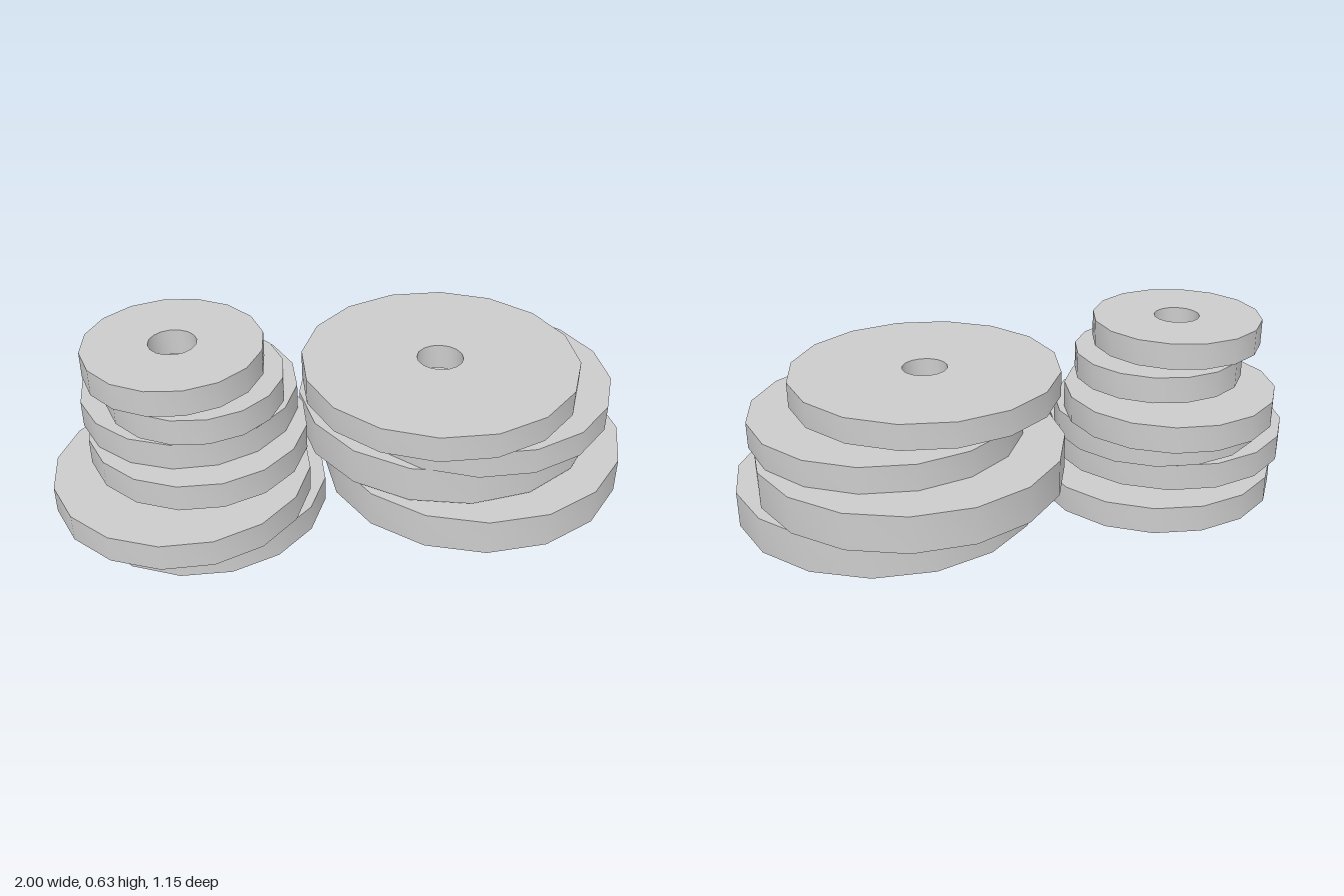
import * as THREE from 'three';
import { toCreasedNormals } from 'three/addons/utils/BufferGeometryUtils.js';

const material = new THREE.MeshStandardMaterial({ color: 0xcccccc });
const SIDES = 16, HOLE = 0.08;

// One plate: a 16-sided disc with a hole through the middle, turned by some degrees
function makePlate([x, z, bottom, top, radius, turn]) {
  const profile = [[HOLE, bottom], [radius, bottom], [radius, top], [HOLE, top], [HOLE, bottom]]
    .map(([r, y]) => new THREE.Vector2(r, y));
  const lathe = new THREE.LatheGeometry(profile, SIDES, THREE.MathUtils.degToRad(turn));
  const plate = new THREE.Mesh(toCreasedNormals(lathe, Math.PI / 4), material);
  plate.position.set(x, 0, z);
  return plate;
}

function makeStack(name, plateName, plates) {
  const stack = new THREE.Group();
  stack.name = name;
  plates.forEach((spec, i) => {
    const plate = makePlate(spec);
    plate.name = plateName + (i + 1);
    stack.add(plate);
  });
  return stack;
}

export function createModel() {
  const model = new THREE.Group();
  model.name = 'weightPlates';

  // Each plate: x, z, bottom, top, radius, turn
  model.add(makeStack('smallPlateStack', 'smallPlate', [
    [-0.505, 0.053, 0.0, 0.095, 0.431, 6],
    [-0.573, 0.136, 0.115, 0.208, 0.431, 7.2],
    [-0.505, 0.053, 0.223, 0.316, 0.37, 6],
    [-0.52, -0.043, 0.318, 0.411, 0.37, 7.8],
    [-0.505, 0.054, 0.424, 0.516, 0.298, 2],
    [-0.568, 0.054, 0.54, 0.631, 0.298, 1],
  ]));
  model.add(makeStack('largePlateStack', 'largePlate', [
    [0.475, 0.054, 0.01, 0.138, 0.534, 11.25],
    [0.4, -0.045, 0.15, 0.279, 0.533, 16.1],
    [0.472, 0.055, 0.28, 0.373, 0.477, 7],
    [0.328, 0.097, 0.395, 0.486, 0.477, 6],
  ]));
  return model;
}
